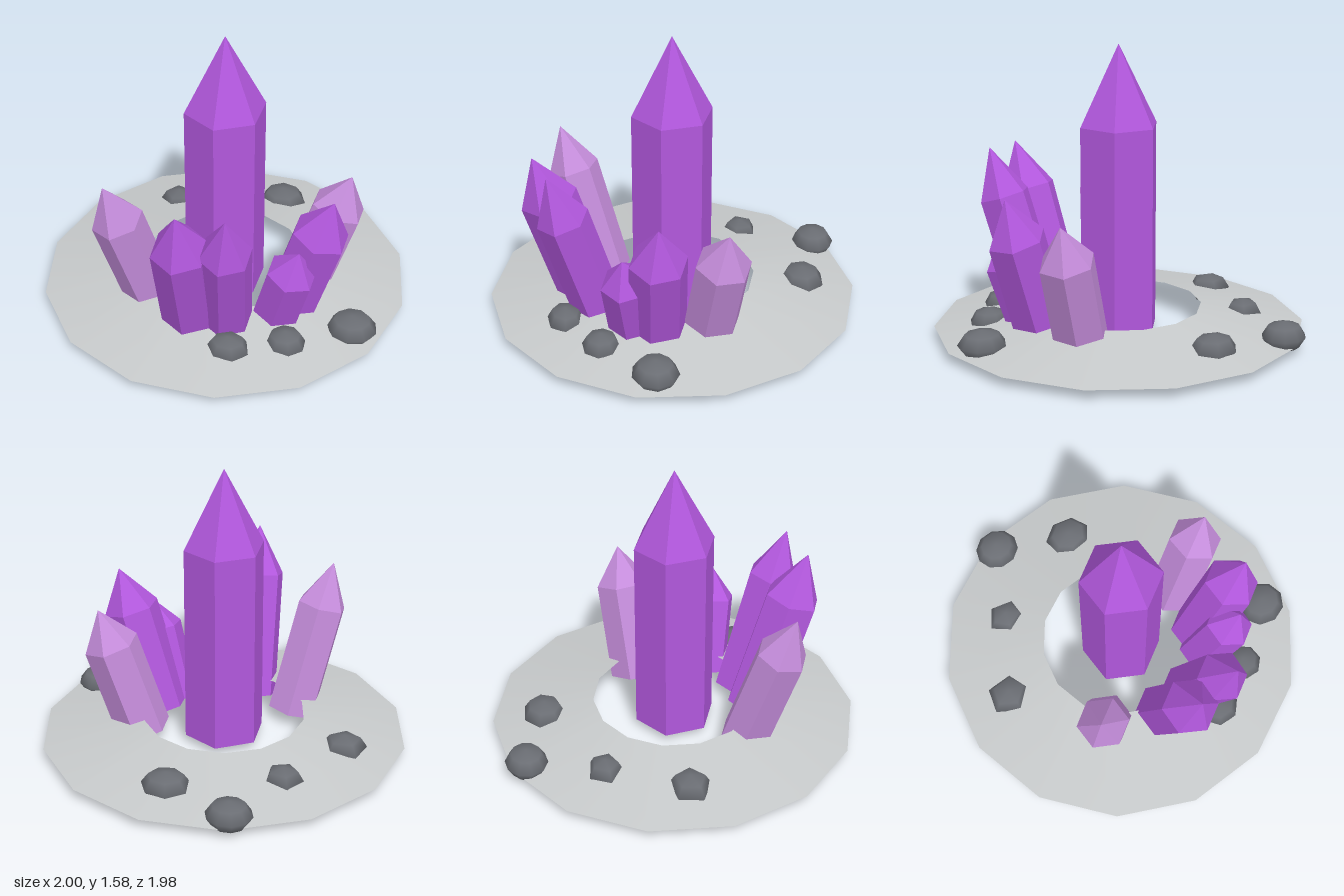
import * as THREE from 'three';

const mat = (name, color, side = THREE.FrontSide) => {
  const m = new THREE.MeshStandardMaterial({ color, side });
  m.name = name;
  return m;
};

// Six-sided pointed crystal running from a base point to its tip, with flat facets
function crystal(name, base, tip, radius, material) {
  const from = new THREE.Vector3(...base);
  const axis = new THREE.Vector3(...tip).sub(from);
  const length = axis.length();
  const profile = [[0, 0], [radius, 0], [radius, length * 0.72], [0, length]]
    .map(([x, y]) => new THREE.Vector2(x, y));
  const geometry = new THREE.LatheGeometry(profile, 6).toNonIndexed();
  geometry.computeVertexNormals();
  const mesh = new THREE.Mesh(geometry, material);
  mesh.name = name;
  mesh.position.copy(from);
  mesh.quaternion.setFromUnitVectors(new THREE.Vector3(0, 1, 0), axis.normalize());
  return mesh;
}

// Flattened pebble with few sides and smooth shading
function rock([x, y, z, rx, rz, sides, turn], material) {
  const geometry = new THREE.SphereGeometry(1, sides, 4);
  geometry.rotateY(turn);
  const mesh = new THREE.Mesh(geometry, material);
  mesh.name = 'rock';
  mesh.scale.set(rx, 0.08, rz);
  mesh.position.set(x, y, z);
  return mesh;
}

export function createModel() {
  const group = new THREE.Group();
  group.name = 'crystalCluster';
  const purple = mat('purple', 0xb157dc);
  const lilac = mat('lilac', 0xc48cda);
  const grey = mat('ground grey', 0xc6c9ca, THREE.DoubleSide);
  const dark = mat('rock grey', 0x6a6d73);

  // Sloping ground ring, open in the middle
  const ring = new THREE.Mesh(
    new THREE.LatheGeometry(
      [new THREE.Vector2(1, 0.065), new THREE.Vector2(0.445, 0.175)], 14, Math.PI / 2),
    grey);
  ring.name = 'groundRing';
  ring.position.z = 0.01;
  group.add(ring);

  // Tall upright crystal and the leaning ones around it
  group.add(
    crystal('mainCrystal', [0, 0.06, 0.013], [0, 1.595, 0.013], 0.22, purple),
    crystal('frontCrystal', [-0.055, 0.06, 0.46], [-0.045, 0.975, 0.755], 0.155, purple),
    crystal('frontLeftCrystal', [0.13, 0.06, 0.44], [0.205, 0.985, 0.73], 0.14, purple),
    crystal('leftCrystal', [0.405, 0.06, 0.2], [0.65, 0.858, 0.26], 0.155, purple),
    crystal('smallCrystal', [0.355, 0.06, 0.31], [0.51, 0.62, 0.415], 0.135, purple),
    crystal('paleRightCrystal', [-0.325, 0.06, 0.31], [-0.51, 0.897, 0.51], 0.14, lilac),
    crystal('paleLeftCrystal', [0.435, 0.06, -0.07], [0.665, 0.775, -0.105], 0.15, lilac),
  );

  // Scattered rocks: x, y, z, half width, half depth, sides, turn
  const rocks = [
    [-0.225, 0.11, -0.885, 0.125, 0.115, 10, 0],
    [0.15, 0.11, -0.69, 0.135, 0.12, 7, 0.4],
    [-0.43, 0.11, -0.51, 0.11, 0.1, 5, 1.3],
    [-0.69, 0.11, -0.125, 0.125, 0.115, 5, 1.6],
    [0.785, 0.11, 0.315, 0.135, 0.125, 9, 0.2],
    [0.475, 0.105, 0.525, 0.11, 0.105, 8, 0.4],
    [0.2, 0.11, 0.655, 0.12, 0.1, 7, 0.2],
  ];
  for (const r of rocks) group.add(rock(r, dark));

  return group;
}
